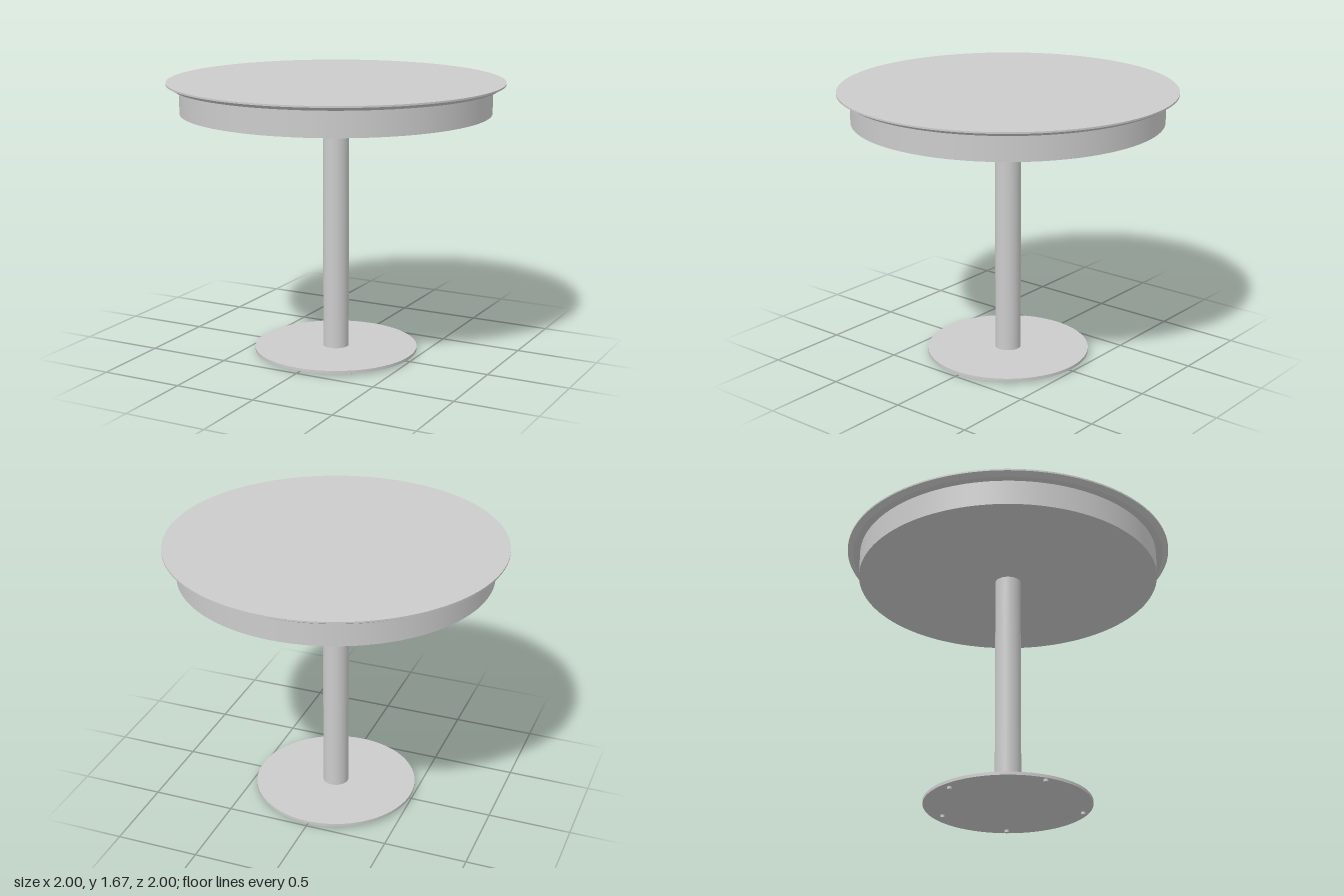
import * as THREE from 'three';

const material = new THREE.MeshStandardMaterial({ color: 0xcccccc });

// Upright round part between two heights, with its own top and bottom radius
function disc(name, rTop, rBottom, y0, y1, sides = 128) {
  const geometry = new THREE.CylinderGeometry(rTop, rBottom, y1 - y0, sides);
  const mesh = new THREE.Mesh(geometry, material);
  mesh.name = name;
  mesh.position.y = (y0 + y1) / 2;
  return mesh;
}

export function createModel() {
  const table = new THREE.Group();
  table.name = 'pedestalTable';

  // Table top: thin straight rim above an undercut bevel
  const top = new THREE.Group();
  top.name = 'tableTop';
  top.add(
    disc('topRim', 1, 1, 1.657, 1.667),
    disc('topBevel', 1, 0.965, 1.637, 1.657),
  );

  table.add(
    top,
    disc('apron', 0.923, 0.923, 1.483, 1.637),
    disc('column', 0.078, 0.078, 0.033, 1.483, 64),
    disc('basePlate', 0.495, 0.495, 0.015, 0.033),
  );

  // Five small feet, unevenly spaced under the plate
  const feet = new THREE.Group();
  feet.name = 'feet';
  const spots = [[0, -0.42], [0.4, -0.18], [0.28, 0.36], [-0.305, 0.36], [-0.41, -0.18]];
  for (const [x, z] of spots) {
    const foot = disc('foot', 0.013, 0.013, 0, 0.015, 24);
    foot.position.x = x;
    foot.position.z = z;
    feet.add(foot);
  }
  table.add(feet);

  return table;
}
